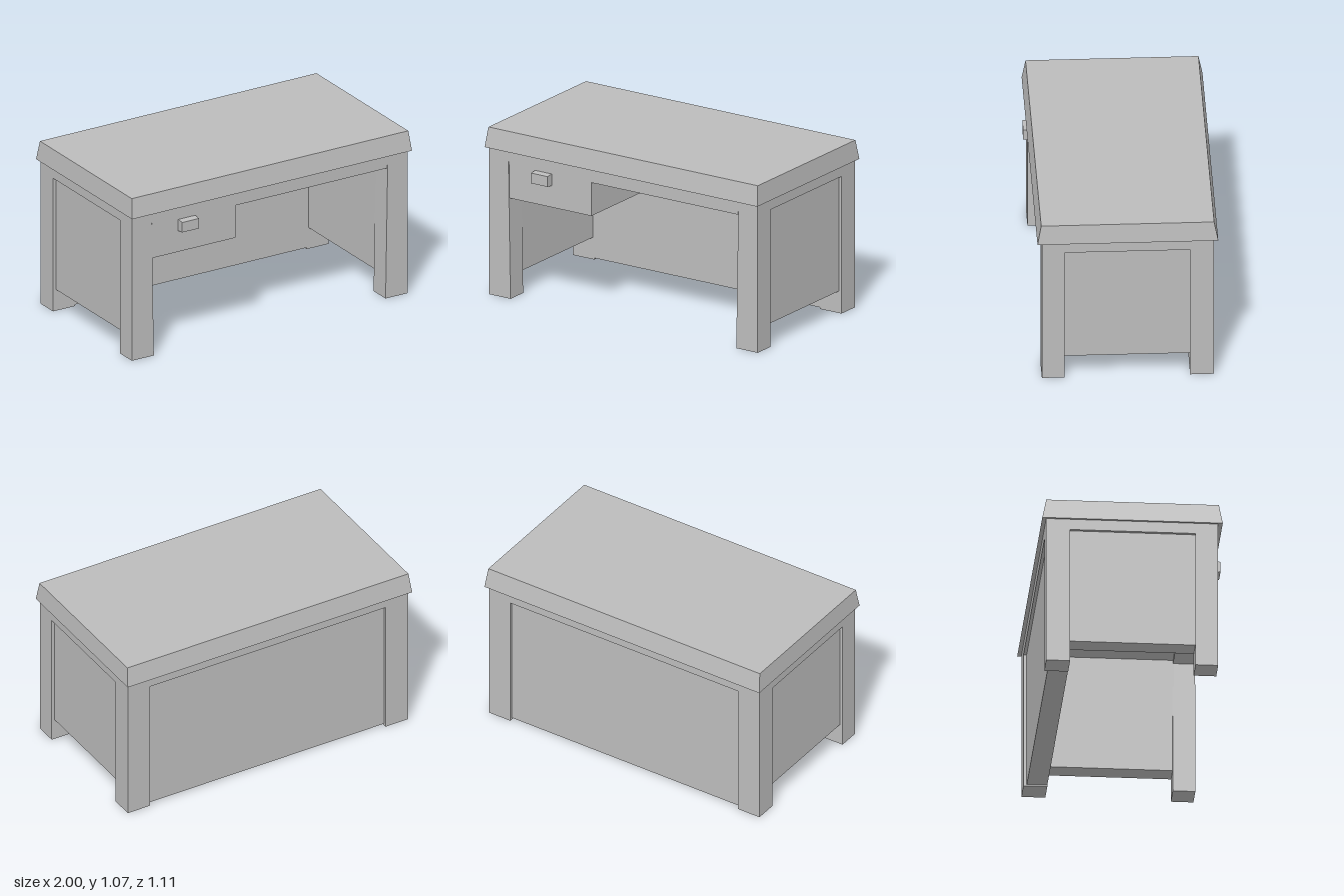
import * as THREE from 'three';

export function createModel() {
  const desk = new THREE.Group();
  desk.name = 'desk';
  const grey = new THREE.MeshStandardMaterial({ color: 0xbcbcbc });
  grey.name = 'plain grey';

  // Box given by its limits; topInset = [x-, x+, z-, z+] pulls the upper edges inward
  function block(name, [x0, x1], [y0, y1], [z0, z1], topInset) {
    const geo = new THREE.BoxGeometry(x1 - x0, y1 - y0, z1 - z0);
    geo.translate((x0 + x1) / 2, (y0 + y1) / 2, (z0 + z1) / 2);
    if (topInset) {
      const p = geo.attributes.position;
      const [xa, xb, za, zb] = topInset;
      for (let i = 0; i < p.count; i++) {
        if (p.getY(i) < (y0 + y1) / 2) continue;
        p.setX(i, p.getX(i) + (p.getX(i) < (x0 + x1) / 2 ? xa : -xb));
        p.setZ(i, p.getZ(i) + (p.getZ(i) < (z0 + z1) / 2 ? za : -zb));
      }
      geo.computeVertexNormals();
    }
    const mesh = new THREE.Mesh(geo, grey);
    mesh.name = name;
    desk.add(mesh);
    return mesh;
  }

  // Overhanging top with bevelled sides
  block('deskTop', [-1, 1], [0.945, 1.07], [-0.555, 0.542], [0.012, 0.012, 0.025, 0.023]);

  // Frame under the top and the front rail
  block('upperFrame', [-0.985, 0.985], [0.877, 0.945], [-0.53, 0.515]);
  block('frontRail', [-0.84, 0.84], [0.856, 0.877], [0.38, 0.515]);

  // Legs and recessed side panels, mirrored
  for (const s of [-1, 1]) {
    const side = s < 0 ? 'right' : 'left';
    const span = (a, b) => (s > 0 ? [a, b] : [-b, -a]);
    // inner edge of each front leg leans slightly outward towards the top
    const lean = s > 0 ? [0.015, 0, 0, 0] : [0, 0.015, 0, 0];
    block(side + 'FrontLeg', span(0.828, 0.985), [0, 0.877], [0.378, 0.515], lean);
    block(side + 'BackLeg', span(0.828, 0.985), [0, 0.877], [-0.53, -0.385]);
    block(side + 'SidePanel', span(0.84, 0.965), [0.14, 0.877], [-0.39, 0.385]);
  }

  // Recessed back panel
  block('backPanel', [-0.835, 0.835], [0.01, 0.877], [-0.51, -0.385]);

  // Drawer with its knob
  block('drawer', [-0.845, -0.24], [0.64, 0.87], [-0.39, 0.508]);
  const knob = block('drawerKnob', [-0.65, -0.53], [0.778, 0.855], [0.505, 0.555]);
  // knob is a little wider at its root
  const p = knob.geometry.attributes.position;
  for (let i = 0; i < p.count; i++) {
    if (p.getZ(i) > 0.53) p.setY(i, 0.817 + (p.getY(i) - 0.817) * 0.85);
  }
  knob.geometry.computeVertexNormals();

  return desk;
}
